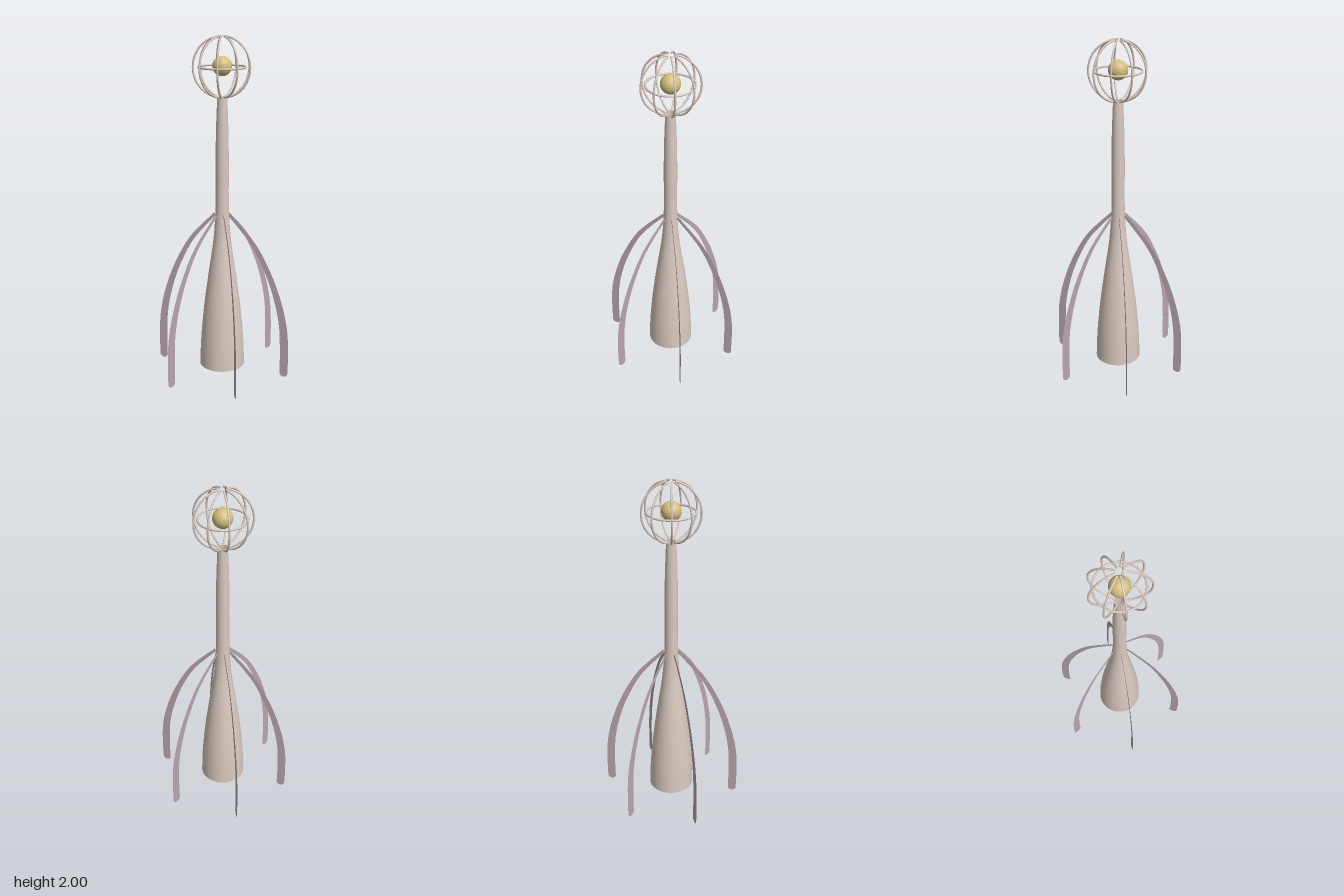
import * as THREE from 'three';

const V2 = (x, y) => new THREE.Vector2(x, y);

export function createModel() {
  const model = new THREE.Group();
  model.name = 'lanternTower';

  const stone = new THREE.MeshStandardMaterial({ color: 0xd9c9bf, side: THREE.DoubleSide });
  stone.name = 'pale stone';
  const mauve = new THREE.MeshStandardMaterial({ color: 0xb8a4ac, side: THREE.DoubleSide });
  mauve.name = 'dusty mauve';
  const gold = new THREE.MeshStandardMaterial({ color: 0xd4bf80 });
  gold.name = 'soft gold';

  const add = (parent, name, geometry, material) => {
    const mesh = new THREE.Mesh(geometry, material);
    mesh.name = name;
    parent.add(mesh);
    return mesh;
  };

  // Hollow flared tower, open underneath
  const outline = new THREE.SplineCurve([
    V2(0.135, 0.035), V2(0.128, 0.2), V2(0.11, 0.4), V2(0.084, 0.6), V2(0.055, 0.8),
    V2(0.042, 0.95), V2(0.038, 1.1), V2(0.038, 1.3), V2(0.035, 1.48), V2(0.028, 1.665),
  ]).getPoints(40);
  add(model, 'tower', new THREE.LatheGeometry(outline, 48), stone);

  // Flat tapering legs, each a thin blade in its own radial plane
  const path = new THREE.SplineCurve([
    V2(0.043, 0.985), V2(0.19, 0.82), V2(0.285, 0.645), V2(0.345, 0.48),
    V2(0.38, 0.32), V2(0.39, 0.16), V2(0.39, 0.025),
  ]);
  const outer = [], inner = [];
  const steps = 32;
  for (let i = 0; i <= steps; i++) {
    const t = i / steps;
    const p = path.getPointAt(t);
    const d = path.getTangentAt(t);
    const half = 0.009 + 0.016 * Math.min(1, t * 1.25);
    outer.push(V2(p.x - d.y * half, p.y + d.x * half));
    inner.push(V2(p.x + d.y * half, p.y - d.x * half));
  }
  const foot = [];
  for (let i = 1; i < 12; i++) {
    const a = -Math.PI * i / 12;
    foot.push(V2(0.39 + 0.025 * Math.cos(a), 0.025 + 0.025 * Math.sin(a)));
  }
  const blade = new THREE.ShapeGeometry(new THREE.Shape([...outer, ...foot, ...inner.reverse()]));
  const legs = new THREE.Group();
  legs.name = 'legs';
  for (let i = 0; i < 6; i++) {
    add(legs, 'leg', blade, mauve).rotation.y = i * Math.PI / 3;
  }
  model.add(legs);

  // Round cage of nine ribs on top of the tower
  const cage = new THREE.Group();
  cage.name = 'cage';
  cage.position.y = 1.83;
  const arc = [];
  for (let i = 0; i <= 16; i++) {
    const a = (i / 8 - 1) * 1.42;
    arc.push(new THREE.Vector3(0.162 * Math.cos(a), 0.168 * Math.sin(a), 0));
  }
  const rib = new THREE.TubeGeometry(new THREE.CatmullRomCurve3(arc), 32, 0.0055, 8);
  const tip = new THREE.CircleGeometry(0.0055, 8);
  for (let i = 0; i < 9; i++) {
    const spoke = new THREE.Group();
    spoke.name = 'rib';
    spoke.rotation.y = i * Math.PI * 2 / 9;
    add(spoke, 'ribBar', rib, stone);
    for (const end of [arc[0], arc[16]]) {
      const cap = add(spoke, 'ribEnd', tip, stone);
      cap.position.copy(end);
      cap.rotation.y = -Math.PI / 2;
    }
    cage.add(spoke);
  }

  // Level hoop and glowing ball inside the cage
  add(cage, 'hoop', new THREE.TorusGeometry(0.132, 0.006, 10, 64), stone).rotation.x = Math.PI / 2;
  add(cage, 'ball', new THREE.SphereGeometry(0.055, 32, 20), gold).position.y = 0.005;
  model.add(cage);

  return model;
}
